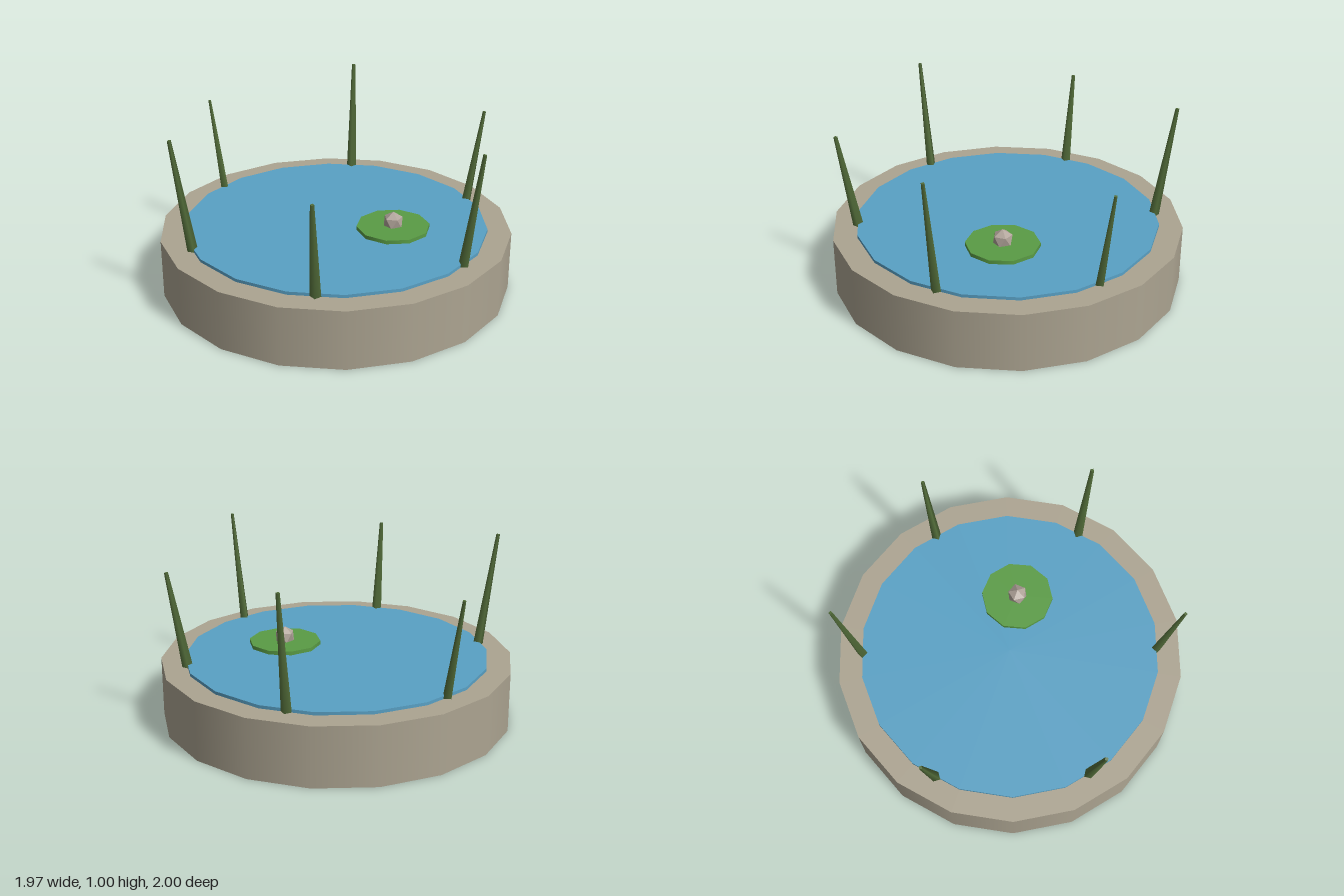
import * as THREE from 'three';

const mat = (name, color, flatShading = false) => {
  const m = new THREE.MeshStandardMaterial({ color, flatShading });
  m.name = name;
  return m;
};

export function createModel() {
  const stone = mat('stone', 0xaca491);
  const underside = mat('dark underside', 0x4e4b48);
  const water = mat('water blue', 0x59a1c5);
  const leaf = mat('leaf green', 0x5a9c45);
  const reedGreen = mat('reed green', 0x526c39);
  const budGrey = mat('bud grey', 0xb0a399, true);

  const pond = new THREE.Group();
  pond.name = 'pond';
  const add = (name, geometry, material, x = 0, y = 0, z = 0) => {
    const mesh = new THREE.Mesh(geometry, material);
    mesh.name = name;
    mesh.position.set(x, y, z);
    pond.add(mesh);
    return mesh;
  };

  // Stone basin (side, top, bottom) with the water disc slightly proud of the rim
  add('basin', new THREE.CylinderGeometry(1, 1, 0.34, 18), [stone, stone, underside], 0, 0.17, 0);
  add('water', new THREE.CylinderGeometry(0.865, 0.865, 0.04, 18), water, 0, 0.338, 0);

  // Lily pad and the bud on it, turned so one corner points up
  add('lilyPad', new THREE.CylinderGeometry(0.208, 0.208, 0.03, 10), leaf, 0.263, 0.365, 0.211);
  const bud = new THREE.IcosahedronGeometry(0.06, 0);
  bud.rotateZ(-Math.atan(2 / (1 + Math.sqrt(5))));
  bud.rotateY(-Math.PI / 2);
  add('bud', bud, budGrey, 0.263, 0.402, 0.211);

  // Six four-sided reeds leaning outwards, alternately short and tall
  const base = new THREE.Vector3(0.85, 0.33, 0);
  for (let i = 0; i < 6; i++) {
    const tip = new THREE.Vector3(0.945, i % 2 ? 1 : 0.893, 0);
    const axis = tip.clone().sub(base);
    const geometry = new THREE.CylinderGeometry(0.011, 0.03, axis.length(), 4);
    geometry.rotateZ(-Math.atan2(axis.x, axis.y));
    geometry.translate((base.x + tip.x) / 2, (base.y + tip.y) / 2, 0);
    add('reed', geometry, reedGreen).rotation.y = (-i * Math.PI) / 3;
  }
  return pond;
}
